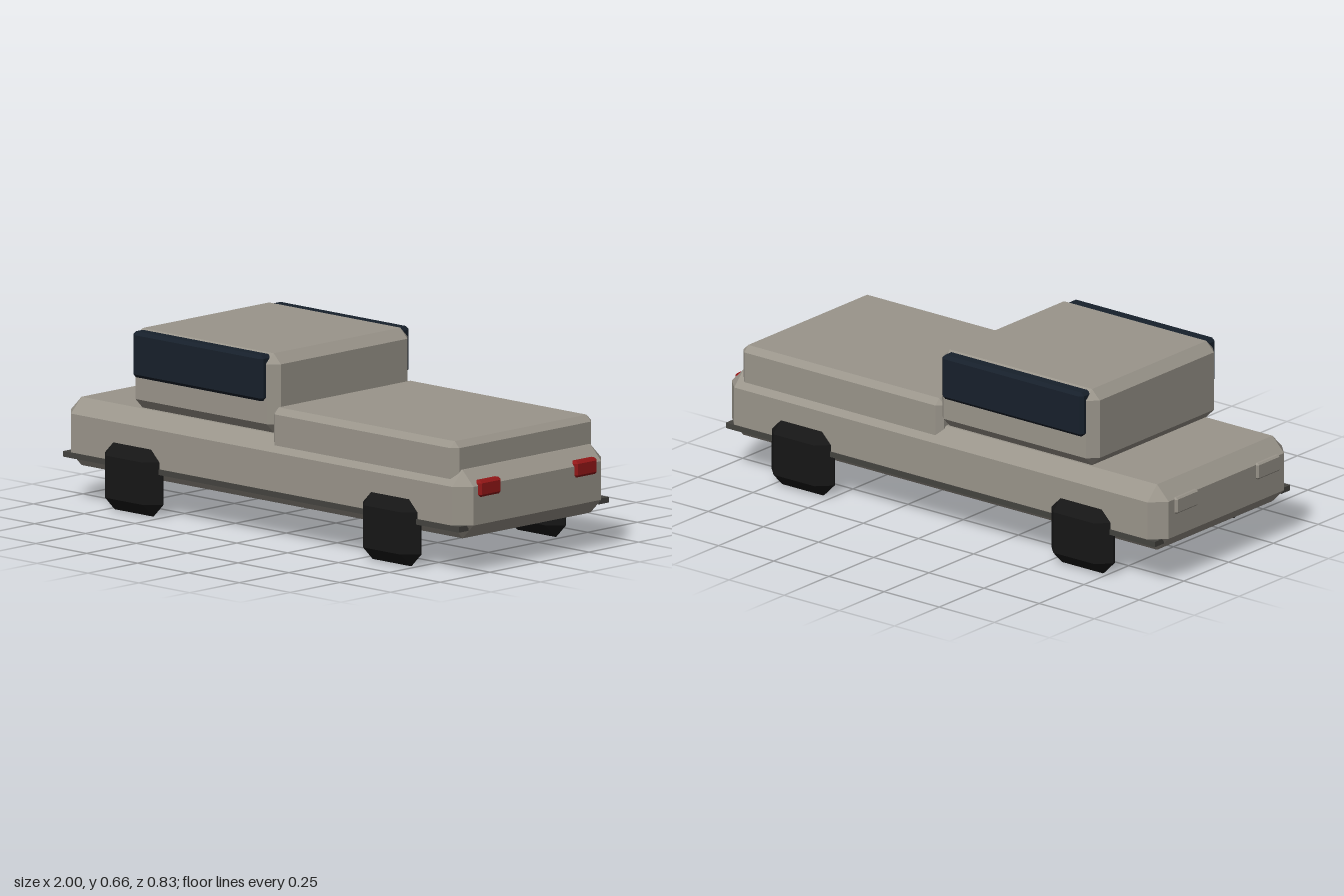
import * as THREE from 'three';
import { ConvexGeometry } from 'three/addons/geometries/ConvexGeometry.js';

const paint = (color) => new THREE.MeshStandardMaterial({ color, flatShading: true });

// Box with chamfered edges, given by its min/max range on each axis
function chamferBox(name, [x0, x1], [y0, y1], [z0, z1], c, material) {
  const hx = (x1 - x0) / 2, hy = (y1 - y0) / 2, hz = (z1 - z0) / 2;
  const points = [];
  for (const sx of [-1, 1]) for (const sy of [-1, 1]) for (const sz of [-1, 1]) {
    points.push(
      new THREE.Vector3(sx * hx, sy * (hy - c), sz * (hz - c)),
      new THREE.Vector3(sx * (hx - c), sy * hy, sz * (hz - c)),
      new THREE.Vector3(sx * (hx - c), sy * (hy - c), sz * hz));
  }
  const mesh = new THREE.Mesh(new ConvexGeometry(points), material);
  mesh.name = name;
  mesh.position.set((x0 + x1) / 2, (y0 + y1) / 2, (z0 + z1) / 2);
  return mesh;
}

export function createModel() {
  const model = new THREE.Group();
  model.name = 'car';
  const body = paint(0x9a958b);
  const glass = paint(0x17202b);
  const rubber = paint(0x161616);
  const red = paint(0x941717);
  const trim = paint(0x44433f);

  // Lower body, cabin and raised rear deck
  model.add(
    chamferBox('lowerBody', [-0.99, 0.99], [0.125, 0.37], [-0.375, 0.375], 0.053, body),
    chamferBox('cabin', [-0.675, 0.04], [0.373, 0.658], [-0.354, 0.354], 0.035, body),
    chamferBox('rearDeck', [0.02, 0.93], [0.28, 0.471], [-0.354, 0.354], 0.022, body));

  for (const side of [-1, 1]) {
    const label = side > 0 ? 'left' : 'right';
    const span = (a, b) => (side > 0 ? [a, b] : [-b, -a]);

    // Side window
    model.add(chamferBox(label + 'Window', [-0.64, 0], [0.49, 0.655], span(0.318, 0.377), 0.012, glass));

    // Thin sill strip with square ends
    const sill = new THREE.Mesh(new THREE.BoxGeometry(1.945, 0.02, 0.05), trim);
    sill.name = label + 'Sill';
    sill.position.set(0, 0.168, side * 0.353);
    model.add(sill);

    // Blocky wheels
    for (const [end, x] of [['Front', -0.636], ['Rear', 0.632]]) {
      model.add(chamferBox(label + end + 'Wheel', [x - 0.141, x + 0.141], [0.002, 0.25],
        span(0.313, 0.416), 0.048, rubber));
    }

    // Headlight and tail light
    model.add(
      chamferBox(label + 'Headlight', [-1, -0.96], [0.262, 0.322], span(0.165, 0.29), 0.006, body),
      chamferBox(label + 'TailLight', [0.96, 1], [0.276, 0.335], span(0.186, 0.298), 0.009, red));
  }
  return model;
}
